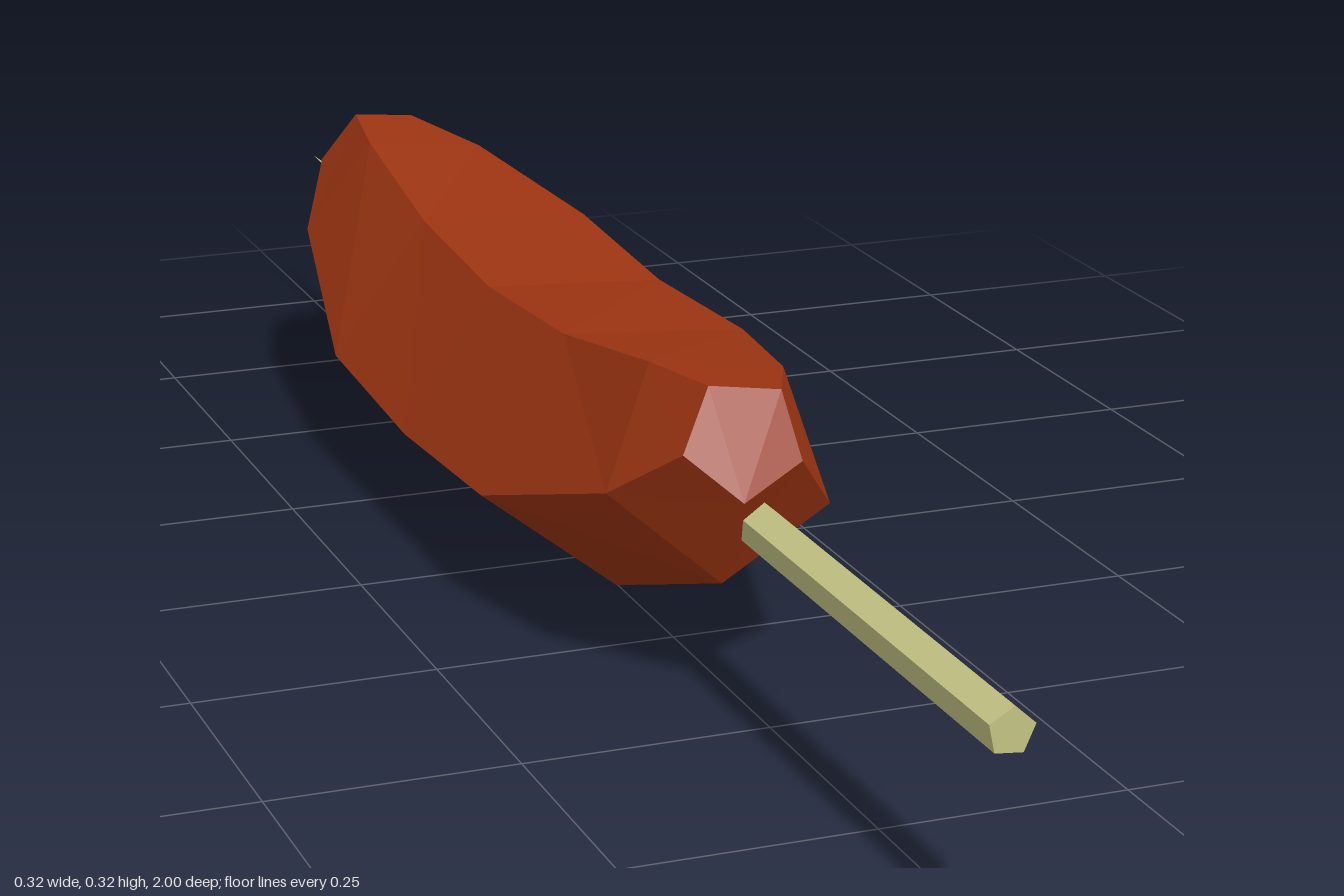
import * as THREE from 'three';

const MID_Z = -0.125; // the sausage is symmetric about this z

// Half of the five-sided rings, from the middle outwards.
// Corners run bottom, right, top right, top left, left as [x, y, distance from MID_Z].
const HALF_RINGS = [
  [[-0.021, 0.003, 0], [0.158, 0.085, 0], [0.13, 0.26, 0], [-0.064, 0.272, 0], [-0.16, 0.118, 0]],
  [[-0.022, 0.025, 0.272], [0.157, 0.1, 0.265], [0.13, 0.272, 0.235], [-0.062, 0.285, 0.225], [-0.16, 0.132, 0.25]],
  [[-0.023, 0.128, 0.557], [0.1, 0.185, 0.53], [0.081, 0.303, 0.455], [-0.055, 0.32, 0.445], [-0.118, 0.21, 0.495]],
  [[-0.023, 0.226, 0.61], [0.043, 0.255, 0.593], [0.033, 0.318, 0.563], [-0.038, 0.327, 0.555], [-0.073, 0.27, 0.58]],
];

// Skin a list of rings running from +z to -z, closed at both ends, with flat faces.
function skinRings(rings) {
  const n = rings[0].length;
  const last = rings.length - 1;
  const pos = [];
  const tri = (a, b, c) => pos.push(...a, ...b, ...c);
  for (let i = 0; i < last; i++) {
    for (let j = 0; j < n; j++) {
      const k = (j + 1) % n;
      const a = rings[i][j], b = rings[i][k], c = rings[i + 1][k], d = rings[i + 1][j];
      tri(a, d, b);
      tri(b, d, c);
    }
  }
  for (let j = 1; j < n - 1; j++) {
    tri(rings[0][0], rings[0][j], rings[0][j + 1]);
    tri(rings[last][0], rings[last][j + 1], rings[last][j]);
  }
  const geo = new THREE.BufferGeometry();
  geo.setAttribute('position', new THREE.Float32BufferAttribute(pos, 3));
  geo.computeVertexNormals();
  return geo;
}

export function createModel() {
  const group = new THREE.Group();
  group.name = 'sausageOnStick';

  const meat = new THREE.MeshStandardMaterial({ color: 0x9c3412 });
  meat.name = 'meat';
  const wood = new THREE.MeshStandardMaterial({ color: 0xc2c283 });
  wood.name = 'wood';
  meat.flatShading = wood.flatShading = true;

  // Curved sausage: mirror the half rings about its middle
  const place = (ring, s) => ring.map(([x, y, d]) => [x, y, MID_Z + s * d]);
  const rings = [
    ...HALF_RINGS.slice(1).reverse().map((r) => place(r, 1)),
    ...HALF_RINGS.map((r) => place(r, -1)),
  ];
  const sausage = new THREE.Mesh(skinRings(rings), meat);
  sausage.name = 'sausage';
  group.add(sausage);

  // Five-sided stick: straight shaft and a long sharpened tip at the back
  const addStick = (name, zFront, zBack, rFront, rBack, open) => {
    const geo = new THREE.CylinderGeometry(rFront, rBack, zFront - zBack, 5, 1, open, Math.PI - 0.1);
    geo.rotateX(Math.PI / 2);
    const mesh = new THREE.Mesh(geo, wood);
    mesh.name = name;
    mesh.position.set(0.003, 0.195, (zFront + zBack) / 2);
    group.add(mesh);
  };
  addStick('stickShaft', 1, -0.42, 0.023, 0.023, false);
  addStick('stickTip', -0.42, -1, 0.023, 0, true);

  return group;
}
